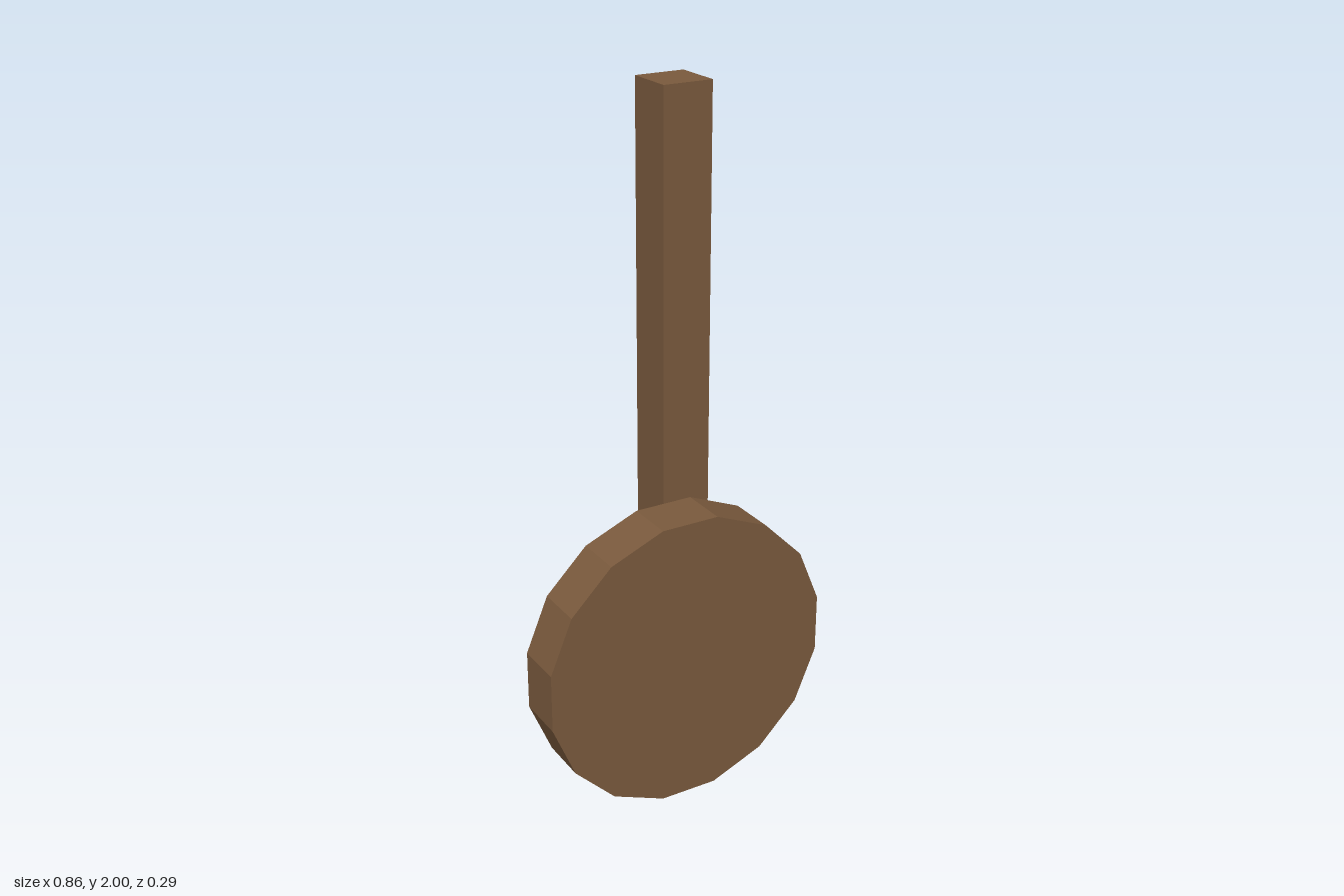
import * as THREE from 'three';

export function createModel() {
  const group = new THREE.Group();
  const wood = new THREE.MeshStandardMaterial({ color: 0x7a5a3d, flatShading: true });
  wood.name = 'brown wood';

  const unit = 1 / 7; // thickness of both parts
  const sides = 16;
  const apothem = 3 * unit;

  // Sixteen-sided disc resting on one flat edge
  const discGeometry = new THREE.CylinderGeometry(
    apothem / Math.cos(Math.PI / sides), apothem / Math.cos(Math.PI / sides),
    unit, sides, 1, false, Math.PI / sides);
  discGeometry.rotateX(Math.PI / 2);
  const disc = new THREE.Mesh(discGeometry, wood);
  disc.name = 'disc';
  disc.position.set(0, apothem, unit / 2);

  // Square bar behind the disc, rising from its centre
  const length = 2 - apothem;
  const bar = new THREE.Mesh(new THREE.BoxGeometry(unit, length, unit), wood);
  bar.name = 'bar';
  bar.position.set(unit / 2, apothem + length / 2, -unit / 2);

  group.add(disc, bar);
  return group;
}
